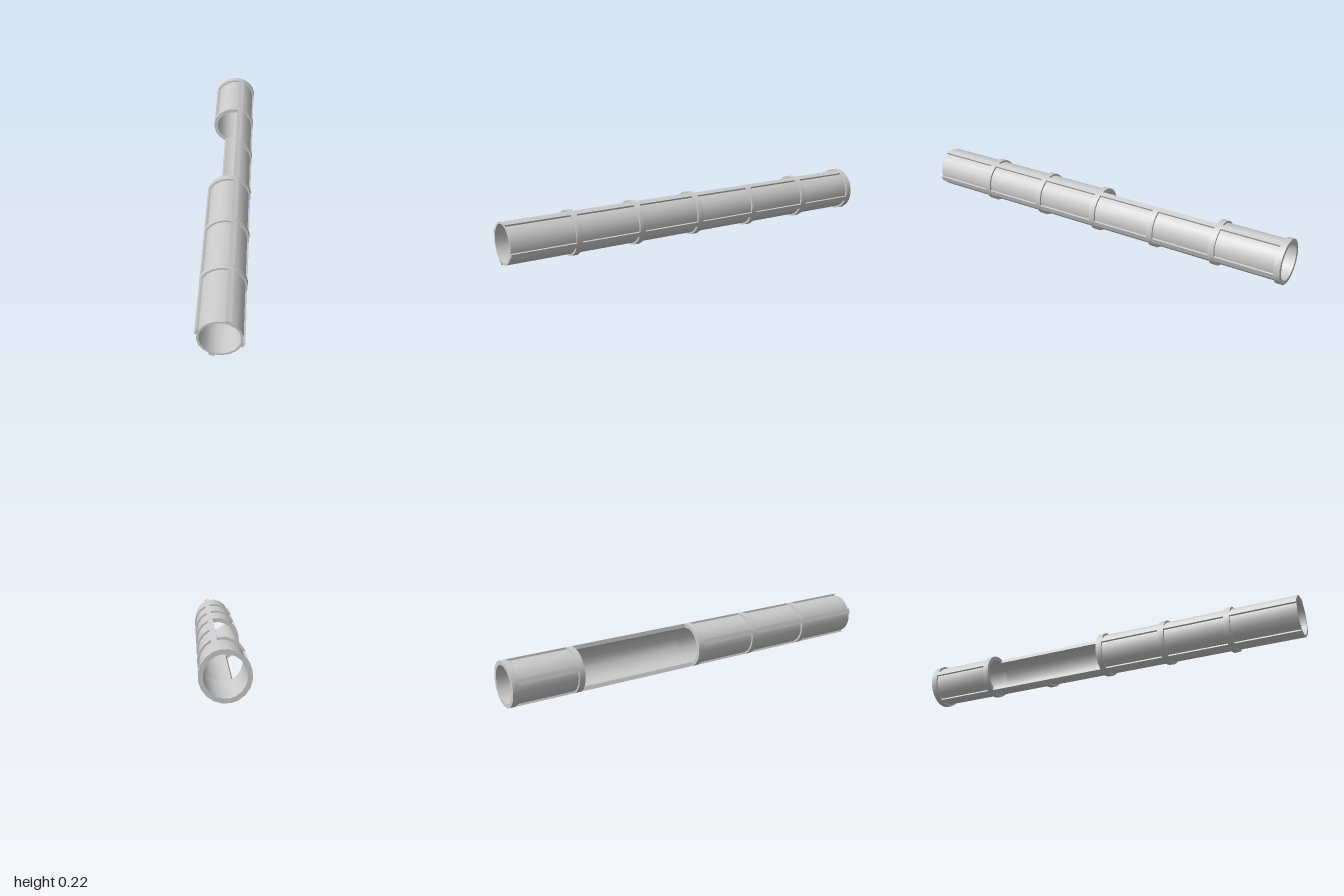
import * as THREE from 'three';
import { toCreasedNormals } from 'three/addons/utils/BufferGeometryUtils.js';

const INNER = 0.09, SHELL = 0.1, OUTER = 0.11;
const RIB = 14, STEP = 19;               // degrees: rib width, facet between ribs
const RIB_CENTRES = [-110, -20, 70, 160];
const OPEN_FROM = -117, OPEN_TO = 77;    // what remains beside the side opening
const HALF = 0.015;                      // half width of a ring

// Corner angles of the tube's cross-section, from one degree to another
function corners(from, to) {
  const list = [];
  for (const c of [...RIB_CENTRES, 250]) {
    for (let i = 0; i < 5; i++) list.push(c - RIB / 2 + (i ? RIB + (i - 1) * STEP : 0));
  }
  return list.filter((a) => a >= from && a <= to);
}

const points = (angles, r) => angles.map((a) => {
  const t = THREE.MathUtils.degToRad(a);
  return new THREE.Vector2(r * Math.cos(t), r * Math.sin(t));
});

export function createModel() {
  const group = new THREE.Group();
  group.name = 'slottedTube';
  const material = new THREE.MeshStandardMaterial({ color: 0xcccccc, side: THREE.DoubleSide });

  // A wall swept along z: a closed tube for 360 degrees, otherwise an arc
  function wall(name, r0, r1, z0, z1, from = -117, to = 243) {
    const full = to - from >= 360;
    const angles = full ? corners(from, to - 1) : corners(from, to);
    const shape = new THREE.Shape(full
      ? points(angles, r1)
      : [...points(angles, r1), ...points(angles, r0).reverse()]);
    if (full) shape.holes.push(new THREE.Path(points(angles, r0).reverse()));
    const extruded = new THREE.ExtrudeGeometry(shape, { depth: z1 - z0, bevelEnabled: false });
    const mesh = new THREE.Mesh(toCreasedNormals(extruded, 0.6), material);
    mesh.name = name;
    mesh.position.set(0, OUTER, z0);
    group.add(mesh);
  }

  const rings = [-0.985, -0.66, -0.331, 0.001, 0.334, 0.667];
  const openStart = rings[1] + HALF, openEnd = rings[3] - HALF;

  // Thin shell: closed at both ends, cut away along the opening
  wall('rearShell', INNER, SHELL, -1, openStart);
  wall('openShell', INNER, SHELL, openStart, openEnd, OPEN_FROM, OPEN_TO);
  wall('frontShell', INNER, SHELL, openEnd, 1);

  rings.forEach((z, i) => {
    // Raised rings; the one inside the opening is only an arc
    if (i === 2) wall('partRing', SHELL, OUTER, z - HALF, z + HALF, OPEN_FROM, OPEN_TO);
    else wall('ring', SHELL, OUTER, z - HALF, z + HALF);

    // Lengthwise ribs filling the bay up to the next ring
    const end = i < rings.length - 1 ? rings[i + 1] - HALF : 1;
    for (const c of RIB_CENTRES) {
      const cutAway = c === 160 && (i === 1 || i === 2);
      if (!cutAway) wall('rib', SHELL, OUTER, z + HALF, end, c - RIB / 2, c + RIB / 2);
    }
  });

  return group;
}
